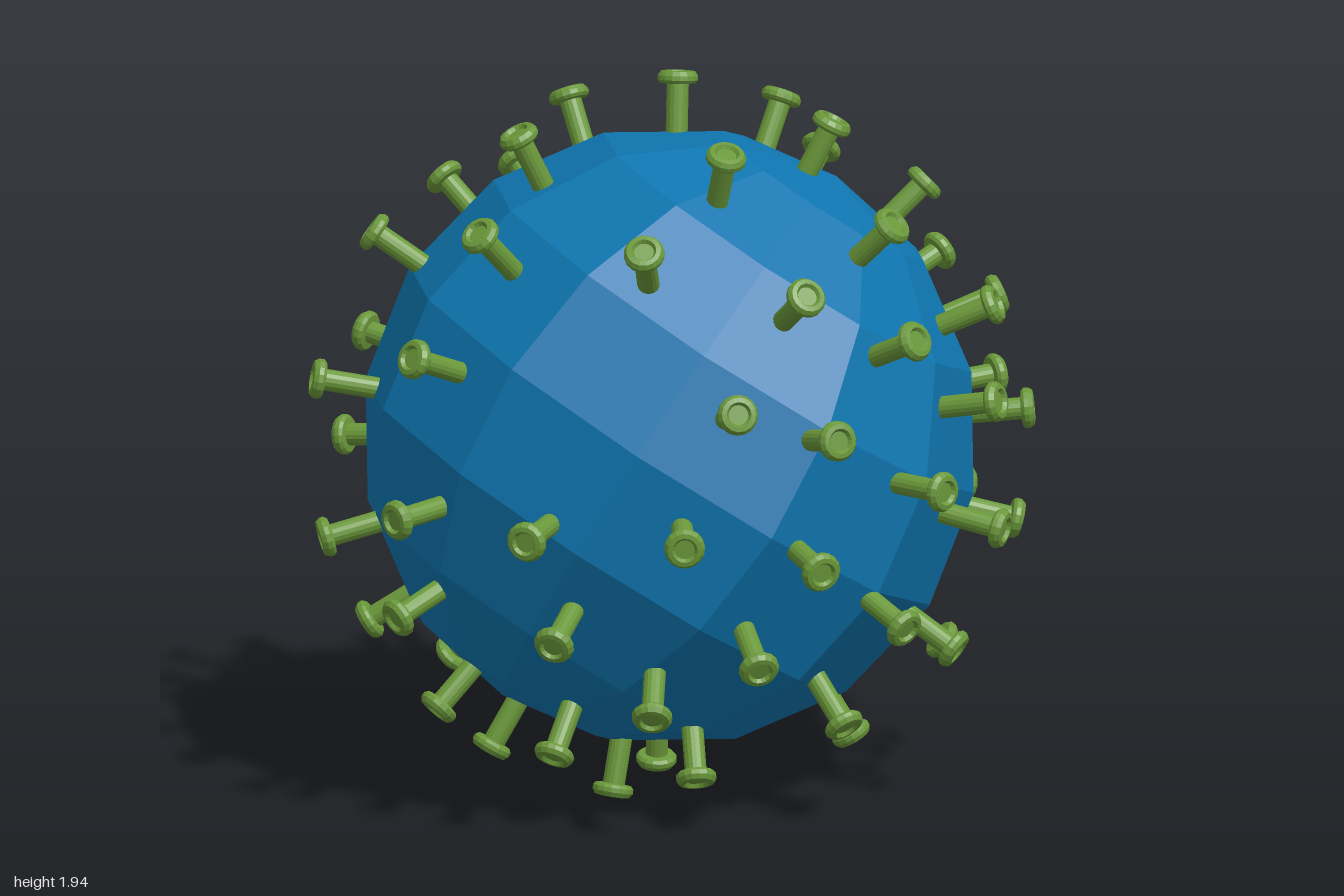
import * as THREE from 'three';

const CENTRE_Y = 0.98;
const HEAD_RADIUS = 0.975;

// Rings of spikes: head height above the centre, then the bearings in degrees from the front
const RINGS = [
  [0.96, 121],
  [0.87, -120, -31, 38, 85, 167],
  [0.67, -98, -57, 7, 51, 93],
  [0.62, -177, 162],
  [0.55, -147, -24, 131],
  [0.4, -3, 29, 73, 107],
  [0.35, -101, 51],
  [0.27, -40, 144],
  [0.18, -172, -136, -23, 16, 83, 170],
  [0.08, 38, 63, 118],
  [-0.01, -2],
  [-0.09, -166, -101, -75, -49, 94, 154],
  [-0.18, -26, 18, 128],
  [-0.25, -133, 44, 71],
  [-0.39, -107, -72, -6, 174],
  [-0.46, -35, 145],
  [-0.53, -147, 19, 84, 111],
  [-0.61, -55, 52],
  [-0.69, -173, -117, -8],
  [-0.77, -83, 91, 136],
  [-0.84, -129, -43, 44],
  [-0.95, -96, 138],
];

// Stem and dished head in one profile, measured from the body's centre
function spikeGeometry() {
  const profile = [
    [0.03, 0.76], [0.03, 0.948], [0.048, 0.95], [0.055, 0.958], [0.055, 0.97],
    [0.047, 0.982], [0.034, 0.984], [0.027, 0.974], [0, 0.974],
  ];
  return new THREE.LatheGeometry(profile.map(([r, y]) => new THREE.Vector2(r, y)), 16);
}

export function createModel() {
  const model = new THREE.Group();
  model.name = 'virusParticle';
  const blue = new THREE.MeshStandardMaterial({ color: 0x0f76b0, flatShading: true });
  const green = new THREE.MeshStandardMaterial({ color: 0x6a983a, flatShading: true });
  const up = new THREE.Vector3(0, 1, 0);

  // Faceted ball with a tilted pole
  const body = new THREE.Mesh(new THREE.SphereGeometry(0.835, 12, 8), blue);
  body.name = 'body';
  body.position.y = CENTRE_Y;
  body.quaternion.setFromUnitVectors(up, new THREE.Vector3(0.33, 0.7, 0.31).normalize());
  model.add(body);

  // Spikes standing out from the surface
  const spikes = new THREE.Group();
  spikes.name = 'spikes';
  spikes.position.y = CENTRE_Y;
  const geometry = spikeGeometry();
  for (const [height, ...bearings] of RINGS) {
    const polar = Math.acos(height / HEAD_RADIUS);
    for (const bearing of bearings) {
      const direction = new THREE.Vector3()
        .setFromSphericalCoords(1, polar, THREE.MathUtils.degToRad(bearing));
      const spike = new THREE.Mesh(geometry, green);
      spike.name = 'spike';
      spike.quaternion.setFromUnitVectors(up, direction);
      spikes.add(spike);
    }
  }
  model.add(spikes);
  return model;
}
